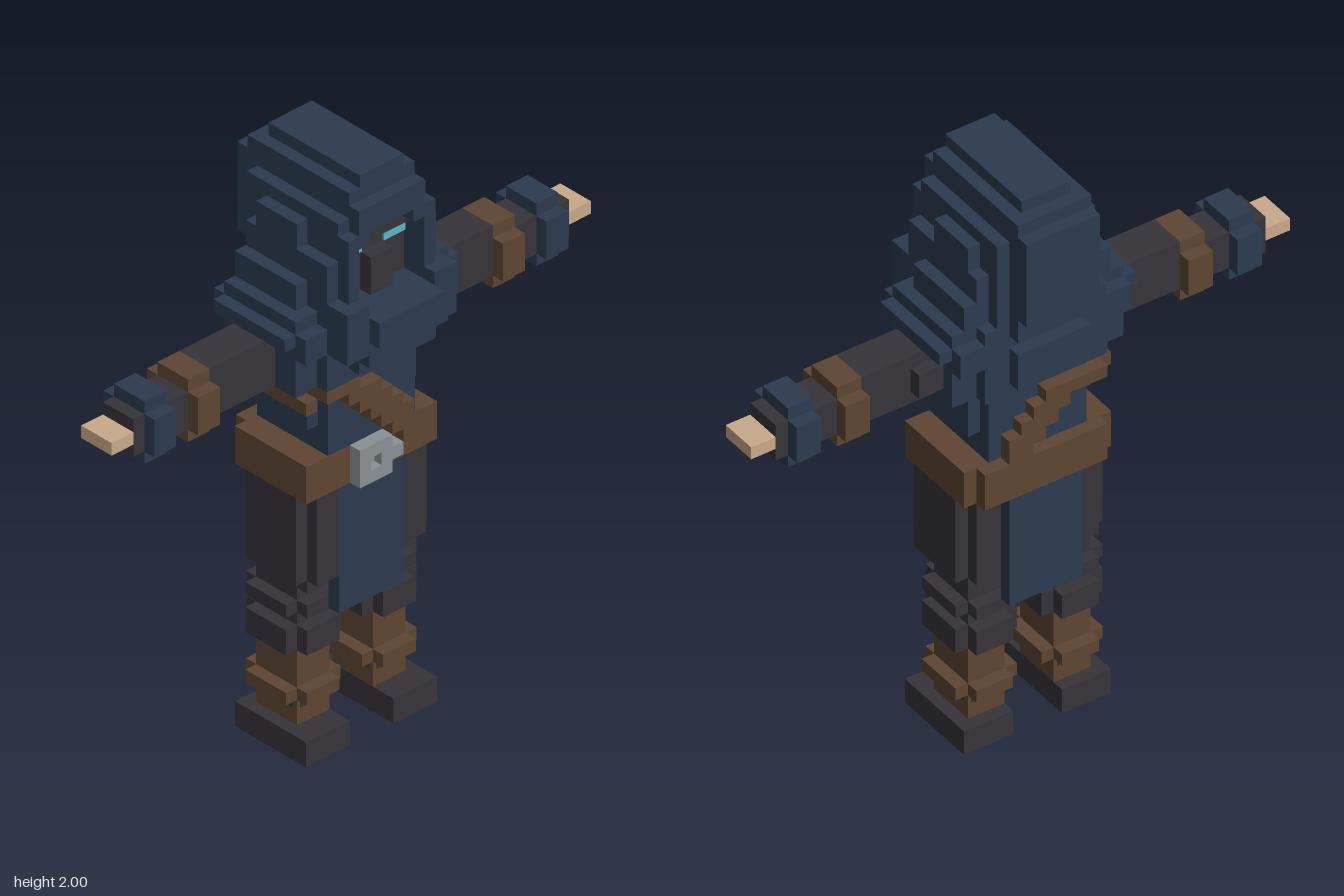
import * as THREE from 'three';

const U = 2 / 46; // one grid cell

const material = (name, hex) => {
  const m = new THREE.MeshStandardMaterial({ color: hex });
  m.name = name;
  return m;
};

export function createModel() {
  const navy = material('navy cloth', 0x2c3b50);
  const dark = material('charcoal cloth', 0x37343a);
  const brown = material('brown leather', 0x5f4633);
  const skin = material('skin', 0xcaaa8b);
  const steel = material('steel', 0x8a9196);
  const glow = material('glowing eyes', 0x5fb7cc);

  const model = new THREE.Group();
  model.name = 'hoodedFigure';

  // Box between two corners, in cells
  const box = (name, mat, x0, x1, y0, y1, z0, z1) => {
    const geo = new THREE.BoxGeometry((x1 - x0) * U, (y1 - y0) * U, (z1 - z0) * U);
    const mesh = new THREE.Mesh(geo, mat);
    mesh.name = name;
    mesh.position.set((x0 + x1) / 2 * U, (y0 + y1) / 2 * U, (z0 + z1) / 2 * U);
    model.add(mesh);
  };
  // Box centred on x = 0
  const mid = (name, mat, half, ...rest) => box(name, mat, -half, half, ...rest);
  // Box on both sides
  const pair = (name, mat, x0, x1, ...rest) => {
    box(name + 'Left', mat, x0, x1, ...rest);
    box(name + 'Right', mat, -x1, -x0, ...rest);
  };
  // Upright ring with notched corners, on both legs
  const legRing = (name, mat, y0, y1) => {
    pair(name, mat, 1, 6, y0, y1, -3, 1);
    pair(name, mat, 2, 5, y0, y1, -4, 2);
  };
  // Sideways ring with notched corners, on both arms
  const armRing = (name, mat, x0, x1) => {
    pair(name, mat, x0, x1, 29, 34, -2, 1);
    pair(name, mat, x0, x1, 30, 33, -3, 2);
  };

  // Legs
  pair('foot', dark, 2, 6, 0, 2, -4, 3);
  pair('boot', brown, 2, 5, 2, 8, -3, 1);
  pair('bootStripe', dark, 2.3, 4.7, 3.3, 3.8, -3.05, 1.05);
  pair('bootStripeSide', dark, 1.95, 5.05, 3.3, 3.8, -2.6, 0.7);
  legRing('bootStrap', brown, 4, 5);
  legRing('kneePad', dark, 8, 10);
  pair('knee', dark, 2, 5, 10, 14, -3, 1);
  legRing('kneeBand', dark, 11, 12);
  pair('lowerThigh', dark, 2, 5, 13, 14, -3, 2);
  pair('thighInner', dark, 1, 3, 14, 21, -4, 2);
  pair('thigh', dark, 3, 5, 14, 21, -4, 3);
  pair('thighOuter', dark, 5, 6, 14, 21, -3, 2);

  // Hanging cloth panels
  mid('frontCloth', navy, 3, 11, 21, 2, 3);
  mid('backCloth', navy, 3, 12, 21, -5, -4);

  // Belt and buckle
  mid('belt', brown, 6, 21, 24, -4, 3);
  mid('beltBack', brown, 5, 21, 24, -5, -4);
  box('buckle', steel, -2, 1, 21, 22, 3, 4);
  box('buckle', steel, -2, 1, 23, 24, 3, 4);
  box('buckle', steel, -2, -1, 22, 23, 3, 4);
  box('bucklePlate', steel, -1, 1, 22, 23, 3, 3.3);
  box('buckleTongue', steel, 0, 2, 22, 23, 3, 4);

  // Torso, widening to the shoulders: half width, y range, z range
  [
    [4, 24, 34, -4, 3],
    [5, 26, 31, -3, 2],
    [6, 29, 31, -3, 2],
    [7, 30, 35, -4, 3],
    [5, 30, 34, -5, 4],
    [7, 33, 35, -5, 4],
    [8, 34, 35, -4, 3],
  ].forEach(t => mid('torso', navy, ...t));

  // Diagonal chest strap, front and back
  for (let i = 0; i < 7; i++) {
    const y = 29 - i;
    const x0 = i === 0 ? -5 : i === 6 ? 2 : i - 4;
    const x1 = i === 0 ? -2 : Math.min(i - 1, 3);
    box('strapFront', brown, x0, x1, y, y + 1, 2, 4);
    if (i > 0) box('strapBack', brown, x0, x1, y, y + 1, -5, -3);
  }
  box('strapBack', brown, -5, -2, 28, 29, -5, -3);
  box('strapSide', brown, -6, -5, 28, 29, -4, 3);

  // Cowl draped over the chest and back
  [
    [3, 31, 32, -6, 5],
    [3, 32, 34, -6, 6],
    [3, 34, 36, -5, 7],
    [5, 33, 36, -5, 6],
    [7, 35, 36, -4, 3],
    [3, 35, 37, -6, 2],
    [6, 36, 38, -4, 2],
  ].forEach(t => mid('cowl', navy, ...t));
  pair('cowlRim', navy, 3, 5, 36, 37, 2, 6);

  // Hood: stepped shells around a recessed face
  [
    [3, 37, 44, -7, 2],
    [4, 36, 43, -5, 2],
    [5, 36, 40, -4, 2],
    [5, 40, 42, -3, 1],
    [3, 42, 44, 2, 5],
    [3, 44, 45, -6, 4],
    [2, 44, 46, -5, 4],
  ].forEach(t => mid('hood', navy, ...t));
  pair('hoodRim', navy, 3, 4, 36, 42, 2, 5);
  pair('hoodRim', navy, 4, 5, 36, 40, 2, 4);
  pair('hoodRim', navy, 2, 3, 41, 42, 2, 5);
  pair('hoodCrown', navy, 3, 4, 42, 43, 2, 4);

  // Face
  mid('face', dark, 3, 36, 42, 1, 3);
  mid('mask', dark, 1, 36, 39, 3, 4);
  mid('brow', dark, 3, 40, 41, 3, 3.5);
  pair('eye', glow, 1, 3, 39.1, 40, 3, 3.15);

  // Arms
  pair('upperArm', dark, 7, 13, 30, 34, -2, 1);
  pair('armpit', dark, 7, 9, 31, 33, -3, 1);
  armRing('armBand', brown, 13, 15);
  pair('forearm', dark, 15, 20, 30, 33, -2, 1);
  armRing('cuff', navy, 17, 19);
  pair('hand', skin, 20, 22, 31, 32, -2, 1);

  return model;
}
